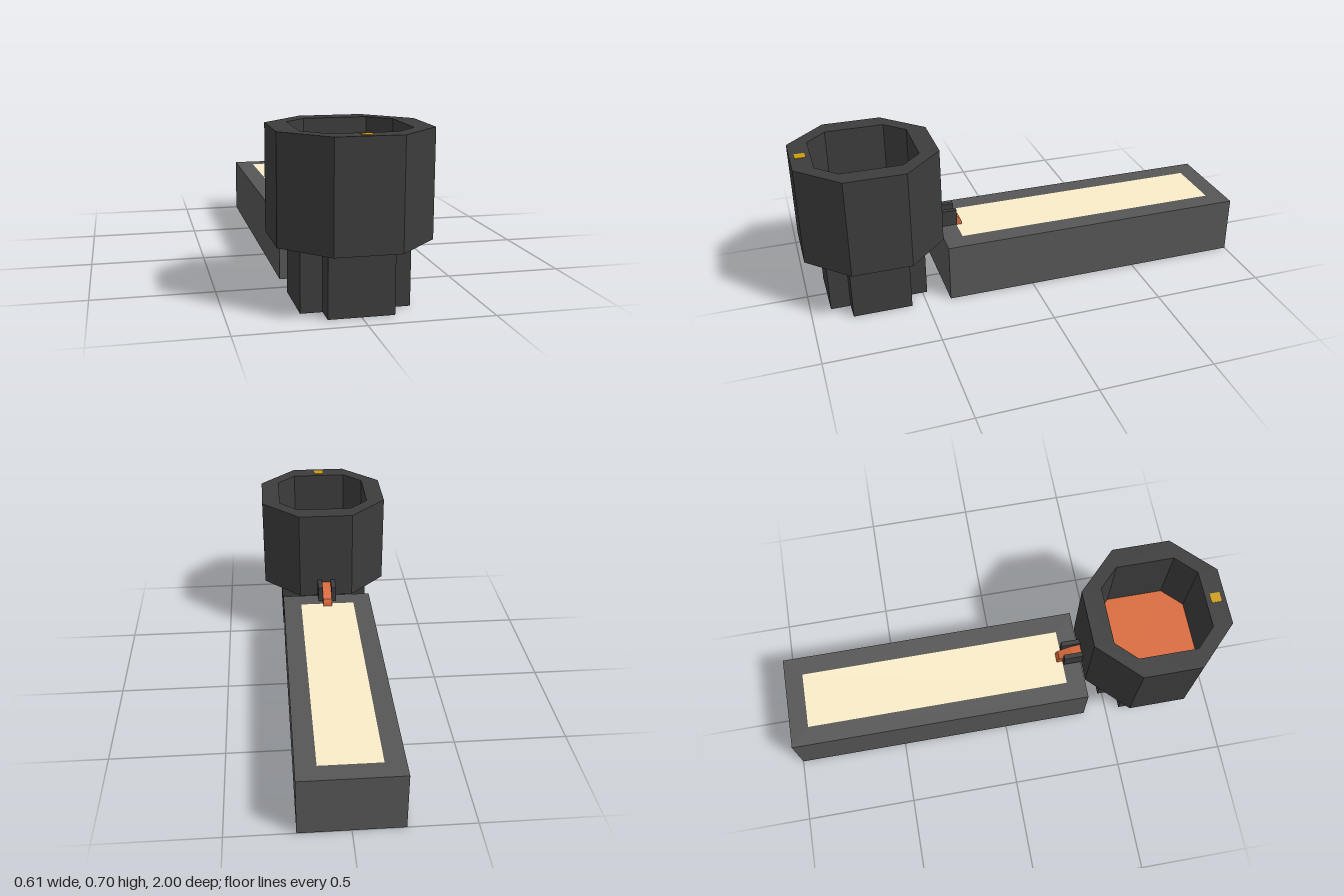
import * as THREE from 'three';

const mat = (color) => new THREE.MeshStandardMaterial({ color, flatShading: true });
const dark = mat(0x3c3c3c), stone = mat(0x565656), sand = mat(0xfaecc8);
const molten = mat(0xd86a3c), brass = mat(0xcc9c10);

const ARM = 0.13, INNER = 0.217, OUTER = 0.304, POT_Z = 0.696;

const points = (list) => list.map(([x, y]) => new THREE.Vector2(x, y));

// square with clipped corners
const octagon = (r) => points([
  [ARM, r], [-ARM, r], [-r, ARM], [-r, -ARM],
  [-ARM, -r], [ARM, -r], [r, -ARM], [r, ARM],
]);

const rectangle = (x0, y0, x1, y1) => points([[x0, y0], [x1, y0], [x1, y1], [x0, y1]]);

export function createModel() {
  const group = new THREE.Group();

  const add = (parent, name, geometry, material) => {
    const mesh = new THREE.Mesh(geometry, material);
    mesh.name = name;
    parent.add(mesh);
    return mesh;
  };
  // counter-clockwise plan outline (x, -z) raised from y0 to y1
  const prism = (outline, y0, y1, hole) => {
    const shape = new THREE.Shape(outline);
    if (hole) shape.holes.push(new THREE.Path(hole));
    return new THREE.ExtrudeGeometry(shape, { depth: y1 - y0, bevelEnabled: false })
      .rotateX(-Math.PI / 2).translate(0, y0, 0);
  };
  const box = (x0, x1, y0, y1, z0, z1) => new THREE.BoxGeometry(x1 - x0, y1 - y0, z1 - z0)
    .translate((x0 + x1) / 2, (y0 + y1) / 2, (z0 + z1) / 2);

  // crucible on its cross-shaped foot
  const crucible = new THREE.Group();
  crucible.name = 'crucible';
  crucible.position.z = POT_Z;
  group.add(crucible);
  const a = ARM, r = INNER;
  const cross = points([
    [a, r], [-a, r], [-a, a], [-r, a], [-r, -a], [-a, -a],
    [-a, -r], [a, -r], [a, -a], [r, -a], [r, a], [a, a],
  ]);
  add(crucible, 'foot', prism(cross, 0, 0.261), dark);
  add(crucible, 'crucibleFloor', prism(octagon(INNER), 0.261, 0.3), dark);
  add(crucible, 'crucibleWall', prism(octagon(OUTER), 0.261, 0.695, octagon(INNER)), dark);
  add(crucible, 'moltenPool', prism(octagon(INNER), 0.3, 0.35), molten);
  add(crucible, 'rimMarker', box(-0.022, 0.022, 0.68, 0.697, 0.239, 0.283), brass);

  // mould frame with a sand core running right through it
  const mould = new THREE.Group();
  mould.name = 'mould';
  group.add(mould);
  const opening = rectangle(-0.13, -0.304, 0.13, 0.916);
  add(mould, 'mouldFrame', prism(rectangle(-0.216, -0.39, 0.216, 1), 0, 0.261, opening), stone);
  add(mould, 'sandCore', prism(opening, 0, 0.261), sand);

  // spout cheeks either side of the pour
  const spout = new THREE.Group();
  spout.name = 'spout';
  group.add(spout);
  for (const side of [-1, 1]) {
    const cheek = add(spout, 'spoutCheek', box(-0.011, 0.011, 0.275, 0.348, 0.306, 0.396), dark);
    cheek.position.x = side * 0.0325;
  }
  add(spout, 'spoutFloor', box(-0.022, 0.022, 0.275, 0.283, 0.306, 0.396), dark);

  // stream sloping down the spout and bending into the mould, profile in (z, y)
  const profile = new THREE.Shape(points([
    [0.396, 0.283], [0.396, 0.335], [0.35, 0.325], [0.304, 0.304], [0.288, 0.296],
    [0.281, 0.281], [0.278, 0.261], [0.3, 0.261], [0.304, 0.283],
  ]));
  const stream = new THREE.ExtrudeGeometry(profile, { depth: 0.042, bevelEnabled: false })
    .translate(0, 0, -0.021).rotateY(-Math.PI / 2);
  add(spout, 'moltenStream', stream, molten);

  return group;
}
